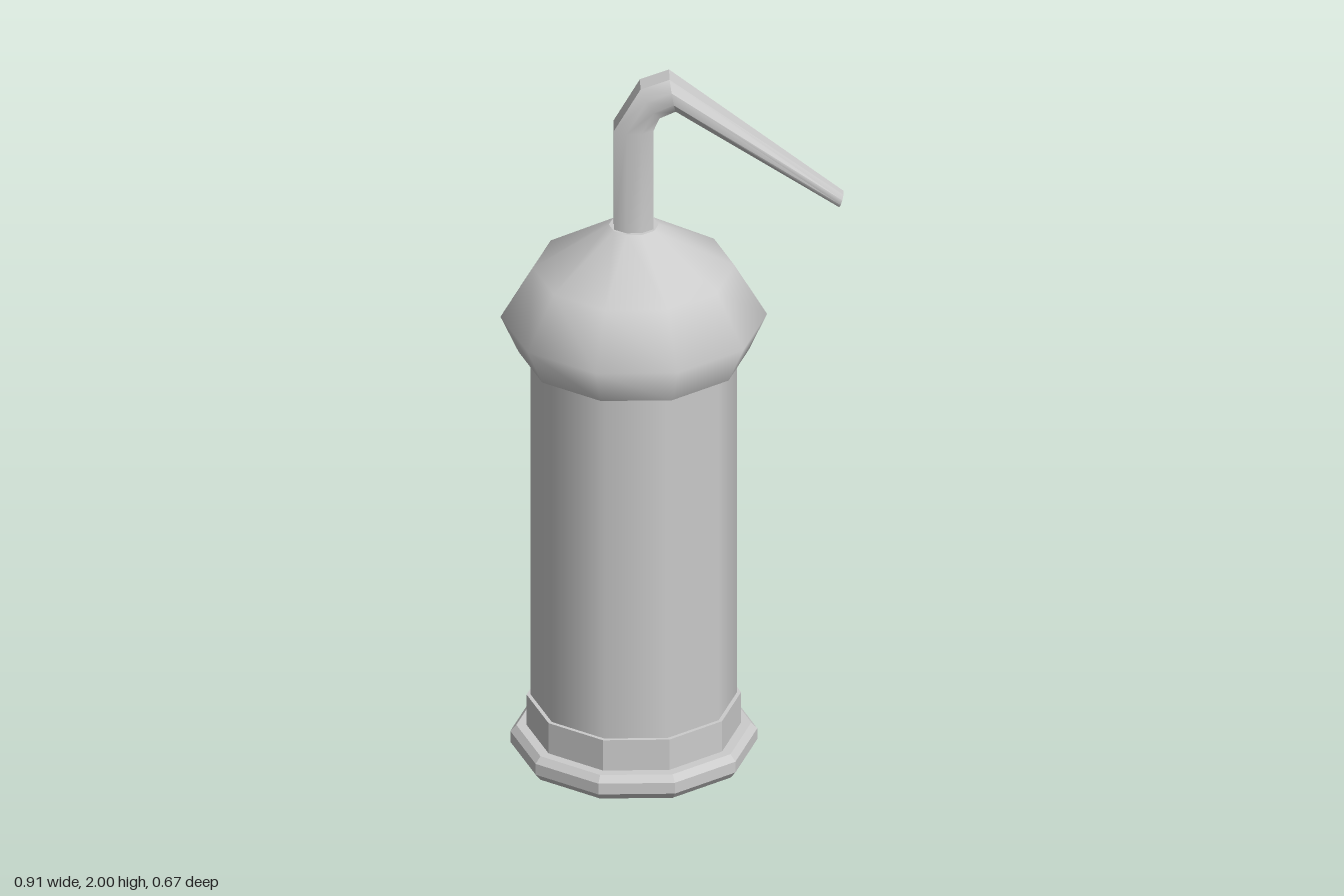
import * as THREE from 'three';
import { toCreasedNormals } from 'three/addons/utils/BufferGeometryUtils.js';

const SIDES = 10;
const AXIS_X = -0.102;

export function createModel() {
  const model = new THREE.Group();
  const smooth = new THREE.MeshStandardMaterial({ color: 0xcccccc });
  const flat = new THREE.MeshStandardMaterial({ color: 0xcccccc, flatShading: true });

  function add(name, geometry, material) {
    const mesh = new THREE.Mesh(geometry, material);
    mesh.name = name;
    model.add(mesh);
  }

  // Ten-sided turned part; the profile runs upwards as [radius, y]
  function turned(name, profile, material) {
    const points = profile.map(([r, y]) => new THREE.Vector2(r, y));
    const geometry = new THREE.LatheGeometry(points, SIDES, Math.PI / 2);
    geometry.translate(AXIS_X, 0, 0);
    add(name, geometry, material);
  }

  // Foot and collar, faceted
  turned('foot', [[0, 0], [0.311, 0], [0.327, 0.02], [0.327, 0.052], [0.311, 0.07], [0.27, 0.07]], flat);
  turned('collar', [[0.284, 0.065], [0.284, 0.16], [0.26, 0.16]], flat);

  // Bottle wall
  turned('bottle', [[0.273, 0.15], [0.273, 1.19]], smooth);

  // Domed cap with a flat underside and top
  turned('cap', [[0.305, 1.18], [0.353, 1.285], [0.267, 1.43], [0.066, 1.556]], smooth);
  turned('capUnderside', [[0.25, 1.18], [0.305, 1.18]], flat);
  turned('capTop', [[0.066, 1.556], [0, 1.556]], flat);

  // Bent spout: each station is outer x, y, inner x, y and half width in z
  const stations = [
    [-0.155, 1.54, -0.05, 1.54, 0.052],
    [-0.155, 1.85, -0.05, 1.85, 0.052],
    [-0.085, 1.972, -0.035, 1.885, 0.052],
    [-0.008, 2.0, 0.008, 1.905, 0.052],
    [0.453, 1.643, 0.442, 1.606, 0.021],
  ];
  // Octagonal section in units of the half sizes
  const section = [
    [1, -0.58], [1, 0.58], [0.38, 1], [-0.38, 1],
    [-1, 0.58], [-1, -0.58], [-0.38, -1], [0.38, -1],
  ];
  const n = section.length;
  const positions = [];
  const indices = [];
  for (const [ox, oy, ix, iy, w] of stations) {
    for (const [u, v] of section) {
      positions.push((ox + ix) / 2 + (u * (ox - ix)) / 2, (oy + iy) / 2 + (u * (oy - iy)) / 2, v * w);
    }
  }
  for (let i = 0; i < stations.length - 1; i++) {
    for (let j = 0; j < n; j++) {
      const a = i * n + j;
      const b = i * n + ((j + 1) % n);
      indices.push(a, b, b + n, a, b + n, a + n);
    }
  }
  // Closed tip
  const tip = (stations.length - 1) * n;
  for (let j = 1; j < n - 1; j++) indices.push(tip, tip + j, tip + j + 1);

  const spout = new THREE.BufferGeometry();
  spout.setAttribute('position', new THREE.Float32BufferAttribute(positions, 3));
  spout.setIndex(indices);
  add('spout', toCreasedNormals(spout, THREE.MathUtils.degToRad(40)), smooth);

  return model;
}
